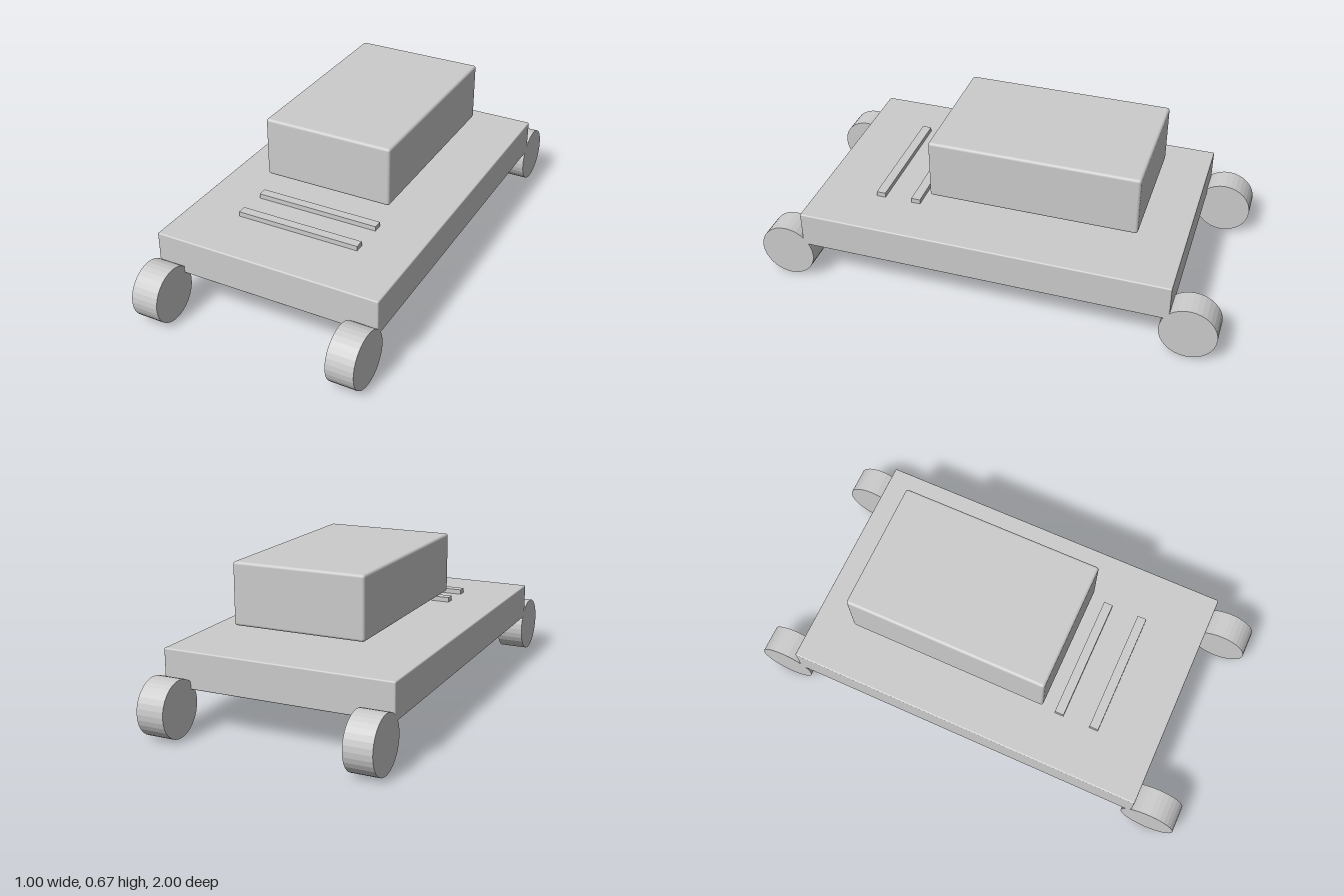
import * as THREE from 'three';
import { RoundedBoxGeometry } from 'three/addons/geometries/RoundedBoxGeometry.js';

export function createModel() {
  const model = new THREE.Group();
  const grey = new THREE.MeshStandardMaterial({ color: 0xcccccc });
  grey.name = 'grey';
  const greyFaceted = grey.clone();
  greyFaceted.flatShading = true;

  const add = (name, geometry, x, y, z, material = grey) => {
    const mesh = new THREE.Mesh(geometry, material);
    mesh.name = name;
    mesh.position.set(x, y, z);
    model.add(mesh);
    return mesh;
  };

  // Flat chassis slab with finely rounded edges
  add('chassis', new RoundedBoxGeometry(1, 0.158, 1.6, 3, 0.006), 0, 0.255, 0);

  // Cabin block hovering above the chassis
  add('cabin', new RoundedBoxGeometry(0.576, 0.264, 0.896, 3, 0.012), 0, 0.534, -0.162);

  // Two thin bars across the hood
  const bar = new THREE.BoxGeometry(0.55, 0.04, 0.04);
  for (const z of [0.36, 0.52]) add('hoodBar', bar, 0, 0.335, z);

  // Four wheels at the corners, axles along x
  const wheel = new THREE.CylinderGeometry(0.12, 0.12, 0.12, 32).rotateZ(Math.PI / 2);
  for (const [side, x] of [['Right', -0.44], ['Left', 0.44]]) {
    for (const [end, z] of [['front', 0.88], ['back', -0.88]]) {
      add(`${end}${side}Wheel`, wheel, x, 0.12, z, greyFaceted);
    }
  }

  return model;
}
